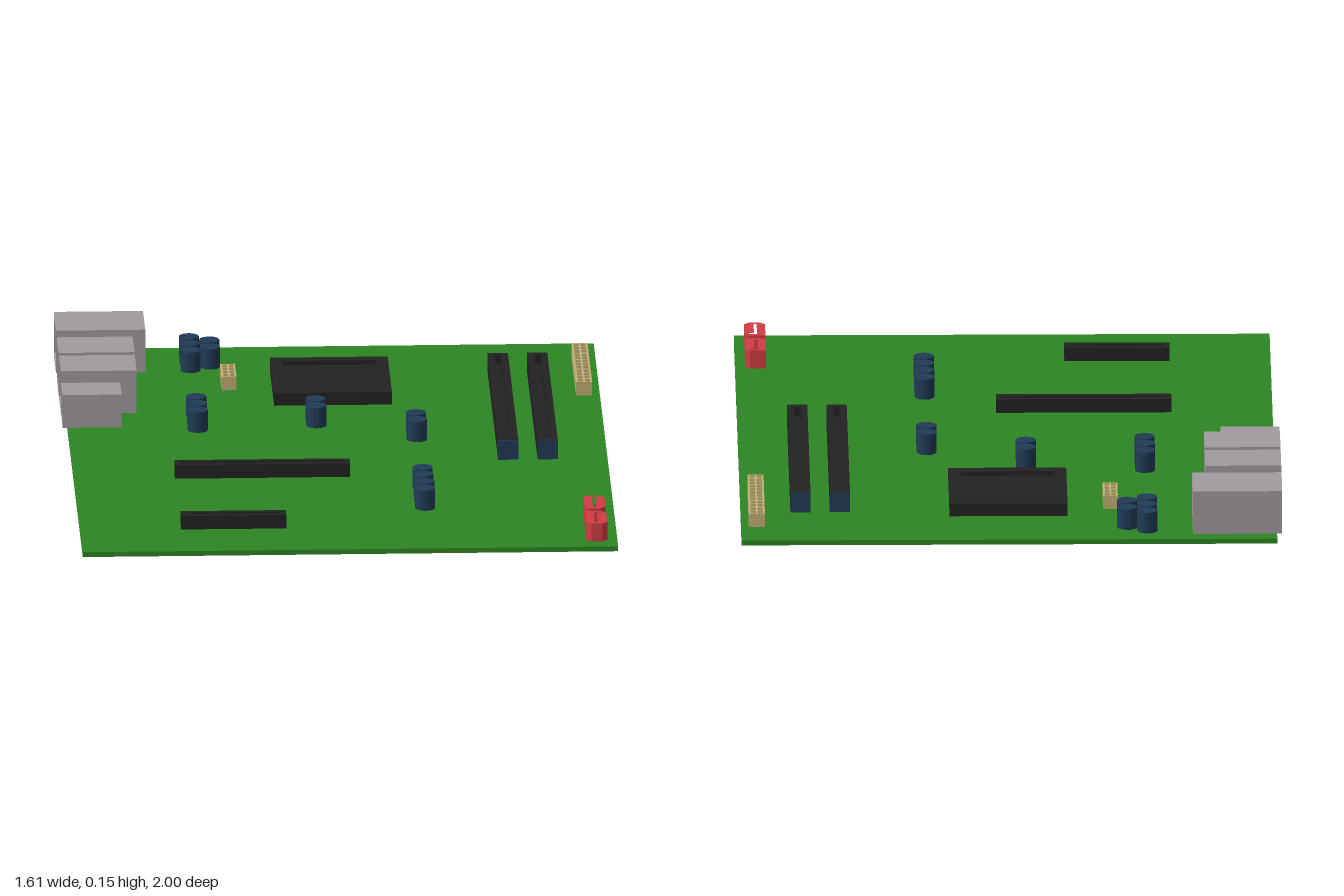
import * as THREE from 'three';

const mat = (name, color) => Object.assign(new THREE.MeshStandardMaterial({ color }), { name });
const BASE = 0.015; // top surface of the board

const rect = (P, x0, x1, y0, y1) => {
  const p = new P();
  p.moveTo(x0, y0);
  p.lineTo(x1, y0);
  p.lineTo(x1, y1);
  p.lineTo(x0, y1);
  p.closePath();
  return p;
};

export function createModel() {
  const model = new THREE.Group();
  model.name = 'circuitBoard';
  const green = mat('boardGreen', 0x2d8523);
  const black = mat('plasticBlack', 0x222222);
  const grey = mat('portGrey', 0xa09a9f);
  const navy = mat('navyBlue', 0x203b56);
  const beige = mat('connectorBeige', 0xc0ae73);
  const red = mat('socketRed', 0xd03c42);

  const add = (name, geometry, material, parent = model) => {
    const mesh = new THREE.Mesh(geometry, material);
    mesh.name = name;
    parent.add(mesh);
    return mesh;
  };
  const box = (name, m, x0, x1, y0, y1, z0, z1, parent) => {
    const g = new THREE.BoxGeometry(x1 - x0, y1 - y0, z1 - z0);
    g.translate((x0 + x1) / 2, (y0 + y1) / 2, (z0 + z1) / 2);
    return add(name, g, m, parent);
  };
  // Extrudes a plan outline (x, -z) upwards from y0 to y1
  const rise = (name, m, shape, y0, y1, parent) => {
    const g = new THREE.ExtrudeGeometry(shape, { depth: y1 - y0, bevelEnabled: false });
    g.rotateX(-Math.PI / 2).translate(0, y0, 0);
    return add(name, g, m, parent);
  };
  // Block whose top is pierced by nx * nz pockets down to floorY
  const pocketBlock = (name, m, x0, x1, z0, z1, top, floorY, margin, nx = 1, nz = 1) => {
    const group = new THREE.Group();
    group.name = name;
    model.add(group);
    const shape = rect(THREE.Shape, x0, x1, -z1, -z0);
    const dx = (x1 - x0 - margin) / nx, dz = (z1 - z0 - margin) / nz;
    for (let i = 0; i < nx; i++) {
      for (let k = 0; k < nz; k++) {
        const x = x0 + margin + i * dx, y = -z1 + margin + k * dz;
        shape.holes.push(rect(THREE.Path, x, x + dx - margin, y, y + dz - margin));
      }
    }
    box(name + 'Base', m, x0, x1, BASE, floorY, z0, z1, group);
    rise(name + 'Rim', m, shape, floorY, top, group);
    return group;
  };

  // Board
  box('board', green, -0.79, 0.8, 0, BASE, -1, 1);

  // Rear ports: shells open towards -x
  [[-0.54, -0.95, -0.765, 0.147], [-0.58, -0.7, -0.545, 0.147],
    [-0.58, -0.52, -0.365, 0.147], [-0.63, -0.345, -0.225, 0.117]].forEach(([x1, z0, z1, top], i) => {
    const port = new THREE.Group();
    port.name = 'port' + (i + 1);
    model.add(port);
    const t = 0.008, x0 = -0.805;
    box('portFloor', grey, x0, x1, BASE, BASE + t, z0, z1, port);
    box('portRoof', grey, x0, x1, top - t, top, z0, z1, port);
    box('portSideBack', grey, x0, x1, BASE + t, top - t, z0, z0 + t, port);
    box('portSideFront', grey, x0, x1, BASE + t, top - t, z1 - t, z1, port);
    box('portEnd', grey, x1 - t, x1, BASE + t, top - t, z0 + t, z1 - t, port);
  });

  // Processor socket with a raised rim
  pocketBlock('processorSocket', black, -0.17, 0.18, -0.77, -0.42, 0.054, 0.04, 0.035);

  // Memory slots with navy end caps
  for (const x of [0.475, 0.592]) {
    const slot = pocketBlock('memorySlot', black, x, x + 0.06, -0.722, 0.132, 0.076, 0.045, 0.02);
    box('slotEndBack', navy, x, x + 0.06, BASE, 0.075, -0.726, -0.722, slot);
    box('slotEndFront', navy, x, x + 0.06, BASE, 0.075, 0.132, 0.136, slot);
  }

  // Expansion slots
  pocketBlock('longExpansionSlot', black, -0.49, 0.03, 0.237, 0.287, 0.057, 0.03, 0.016);
  pocketBlock('shortExpansionSlot', black, -0.49, -0.178, 0.739, 0.787, 0.057, 0.03, 0.016);

  // Power connectors with rows of sockets
  pocketBlock('mainPowerConnector', beige, 0.729, 0.777, -0.87, -0.487, 0.057, 0.035, 0.006, 2, 12);
  pocketBlock('smallPowerConnector', beige, -0.32, -0.276, -0.705, -0.578, 0.057, 0.035, 0.006, 2, 4);

  // Drive sockets: chamfered blocks with an L-shaped slot
  for (const z of [0.738, 0.888]) {
    const outline = [[0.708, 0.062], [0.755, 0.062], [0.77, 0.047], [0.77, -0.047], [0.755, -0.062],
      [0.723, -0.062], [0.708, -0.047]];
    const slot = [[0.733, 0.048], [0.757, 0.048], [0.757, 0.04], [0.742, 0.04], [0.742, -0.048], [0.733, -0.048]];
    const toPoints = (list) => list.map(([x, y]) => new THREE.Vector2(x, y - z));
    const solid = new THREE.Shape(toPoints(outline));
    const cut = new THREE.Shape(toPoints(outline));
    cut.holes.push(new THREE.Path(toPoints(slot)));
    const socket = new THREE.Group();
    socket.name = 'driveSocket';
    model.add(socket);
    rise('driveSocketBase', red, solid, BASE, 0.035, socket);
    rise('driveSocketRim', red, cut, 0.035, 0.071, socket);
  }

  // Capacitors
  const can = new THREE.CylinderGeometry(0.03, 0.03, 0.063, 12);
  const rows = [[-0.405, [-0.915, -0.848, -0.78]], [-0.346, [-0.88, -0.812]],
    [-0.405, [-0.325, -0.258, -0.191]], [-0.052, [-0.291, -0.223]],
    [0.241, [-0.143, -0.076]], [0.241, [0.397, 0.464, 0.532, 0.6]]];
  for (const [x, zs] of rows) {
    for (const z of zs) add('capacitor', can, navy).position.set(x, BASE + 0.0315, z);
  }

  return model;
}
